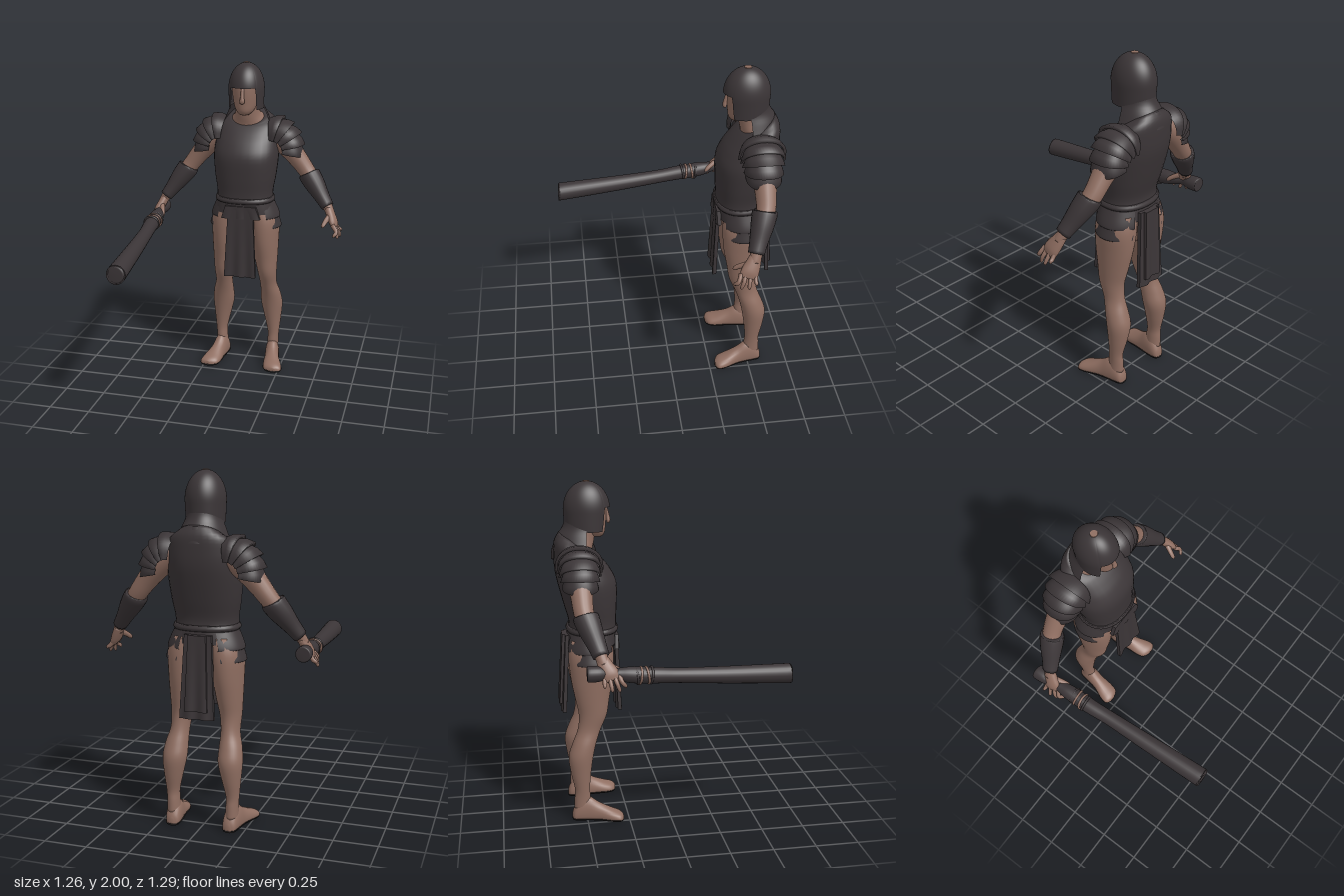
import * as THREE from 'three';

const V = (x, y, z) => new THREE.Vector3(x, y, z);
const skin = new THREE.MeshStandardMaterial({ color: 0x8f6e61 });
skin.name = 'skin';
const leather = new THREE.MeshStandardMaterial({ color: 0x3b3537, side: THREE.DoubleSide });
leather.name = 'dark leather';
const soleMat = new THREE.MeshStandardMaterial({ color: 0x1e1b1b });
soleMat.name = 'sole black';

// Smoothly resample rows of numbers
function smooth(rows, k = 4) {
  const times = rows.map((_, i) => i);
  const curve = new THREE.CubicInterpolant(times, rows.flat(), rows[0].length);
  const out = [];
  for (let i = 0; i <= (rows.length - 1) * k; i++) out.push(Array.from(curve.evaluate(i / k)));
  return out;
}

// Skin a surface over rings of points; closed rings get end caps and face outward
function loft(rings, closed = true) {
  const n = rings[0].length, pos = rings.flat().flatMap(p => [p.x, p.y, p.z]), idx = [];
  const cols = closed ? n : n - 1;
  for (let i = 0; i < rings.length - 1; i++) {
    for (let j = 0; j < cols; j++) {
      const a = i * n + j, b = i * n + (j + 1) % n;
      idx.push(a, b, b + n, a, b + n, a + n);
    }
  }
  if (closed) {
    [0, rings.length - 1].forEach((r, end) => {
      const c = rings[r].reduce((s, p) => s.add(p), V(0, 0, 0)).divideScalar(n);
      const ci = pos.length / 3;
      pos.push(c.x, c.y, c.z);
      for (let j = 0; j < n; j++) {
        const a = r * n + j, b = r * n + (j + 1) % n;
        idx.push(ci, end ? a : b, end ? b : a);
      }
    });
    let volume = 0;
    const p = i => V(pos[3 * i], pos[3 * i + 1], pos[3 * i + 2]);
    for (let i = 0; i < idx.length; i += 3) volume += p(idx[i]).dot(p(idx[i + 1]).cross(p(idx[i + 2])));
    if (volume < 0) idx.reverse();
  }
  const g = new THREE.BufferGeometry();
  g.setAttribute('position', new THREE.Float32BufferAttribute(pos, 3));
  g.setIndex(idx);
  g.computeVertexNormals();
  return g;
}

// Level rings: rows of [y, x, z, halfWidth, halfDepth, tilt]
function column(rows, s = 1, power = 1, a0 = 0, a1 = 360, k = 4) {
  const closed = a1 - a0 === 360, n = 32;
  const pw = v => Math.sign(v) * Math.abs(v) ** power;
  return loft(smooth(rows, k).map(([y, x, z, w, d, tilt = 0]) =>
    Array.from({ length: closed ? n : n + 1 }, (_, j) => {
      const a = THREE.MathUtils.degToRad(a0 + (a1 - a0) * j / n);
      return V(s * (x + w * pw(Math.sin(a))), y - tilt * Math.cos(a), z + d * pw(Math.cos(a)));
    })), closed);
}

// Tube with changing section: rows of [x, y, z, r1, r2]
function limb(rows, s = 1, n = 18, k = 4) {
  const r = smooth(rows, k), c = r.map(q => V(q[0], q[1], q[2]));
  return loft(r.map((q, i) => {
    const t = c[Math.min(i + 1, c.length - 1)].clone().sub(c[Math.max(i - 1, 0)]).normalize();
    const u = t.clone().cross(Math.abs(t.z) > 0.9 ? V(0, 1, 0) : V(0, 0, 1)).normalize();
    const v = t.clone().cross(u);
    return Array.from({ length: n }, (_, j) => {
      const a = j / n * Math.PI * 2;
      const p = c[i].clone().addScaledVector(u, q[3] * Math.cos(a)).addScaledVector(v, q[4] * Math.sin(a));
      p.x *= s;
      return p;
    });
  }));
}

// Foot along z, clipped between two heights
function foot(s, lo, hi, grow) {
  const rows = [[-0.588, 0.17, 0.012, 0.04], [-0.575, 0.17, 0.035, 0.075], [-0.54, 0.172, 0.044, 0.13],
    [-0.49, 0.178, 0.046, 0.145], [-0.43, 0.188, 0.048, 0.105], [-0.36, 0.204, 0.06, 0.07],
    [-0.315, 0.214, 0.06, 0.052], [-0.295, 0.219, 0.045, 0.04], [-0.285, 0.221, 0.018, 0.03]];
  return loft(smooth(rows).map(([z, x, w, h]) => Array.from({ length: 24 }, (_, j) => {
    const a = j / 24 * Math.PI * 2;
    return V(s * (x + (w + grow) * Math.cos(a)), THREE.MathUtils.clamp(h * (0.35 + 0.65 * Math.sin(a)), lo, hi), z);
  })));
}

// Helmet dome with a face opening
function helmetShell() {
  const rings = [];
  for (let i = 0; i <= 24; i++) {
    rings.push(Array.from({ length: 121 }, (_, j) => {
      const deg = -180 + 3 * j, a = THREE.MathUtils.degToRad(deg);
      const cheek = THREE.MathUtils.smoothstep(Math.abs(deg), 43, 51);
      const bottom = THREE.MathUtils.lerp(1.855, 1.72 + 0.025 * Math.max(0, -Math.cos(a)), cheek);
      const y = bottom + (2 - bottom) * Math.sin(i / 24 * Math.PI / 2);
      const r = y > 1.84 ? Math.sqrt(Math.max(0, 1 - ((y - 1.84) / 0.16) ** 2)) : 1 - 0.4 * (1.84 - y);
      return V(0.111 * r * Math.sin(a), y, -0.447 + 0.134 * r * Math.cos(a));
    }));
  }
  return loft(rings, false);
}

// Overlapping shoulder plate fanning around the shoulder joint
function shoulderPlate(s, k) {
  const t0 = 98 - k * 21, t1 = t0 - 25, r = 0.2 - 0.004 * k;
  const rows = [[t0, r - 0.012], [(t0 + t1) / 2, r + 0.002], [t1, r + 0.012], [t1, r - 0.01]];
  return loft(rows.map(([deg, rad]) => Array.from({ length: 25 }, (_, j) => {
    const f = j / 24 * Math.PI, t = THREE.MathUtils.degToRad(deg);
    const q = 0.07 + (rad - 0.07) * Math.max(0, Math.sin(f)) ** 0.7;
    const depth = (0.128 - 0.008 * k) * Math.cos(f) * (rad / r);
    return V(s * (0.165 + q * Math.cos(t)), 1.455 + q * Math.sin(t) * 1.04, -0.512 + depth);
  })), false);
}

// Hanging cloth with soft folds
function apron(w, yTop, yBottom, zTop, zBottom) {
  const g = new THREE.BoxGeometry(w, 1, 0.022, 16, 12, 1), p = g.attributes.position;
  for (let i = 0; i < p.count; i++) {
    const x = p.getX(i), t = 0.5 - p.getY(i);
    const z = p.getZ(i) + THREE.MathUtils.lerp(zTop, zBottom, t) + 0.006 * t * Math.cos(x * 70);
    p.setXYZ(i, x * (0.78 + 0.22 * t), THREE.MathUtils.lerp(yTop, yBottom, t), z);
  }
  g.computeVertexNormals();
  return g;
}

export function createModel() {
  const model = new THREE.Group();
  const add = (name, geo, mat) => {
    const m = new THREE.Mesh(geo, mat);
    m.name = name;
    model.add(m);
    return m;
  };

  // Head and neck
  add('head', column([[1.685, 0, -0.395, 0.03, 0.035], [1.71, 0, -0.41, 0.055, 0.065], [1.75, 0, -0.425, 0.072, 0.085],
    [1.82, 0, -0.435, 0.085, 0.1], [1.88, 0, -0.44, 0.088, 0.1], [1.94, 0, -0.445, 0.06, 0.07]]), skin);
  add('nose', limb([[0, 1.85, -0.337, 0.01, 0.008], [0, 1.8, -0.328, 0.012, 0.012], [0, 1.772, -0.324, 0.017, 0.012],
    [0, 1.762, -0.332, 0.008, 0.006]], 1, 12), skin);
  add('neck', column([[1.55, 0, -0.51, 0.13, 0.085, 0.03], [1.64, 0, -0.507, 0.112, 0.086, 0.035],
    [1.685, 0, -0.48, 0.078, 0.072, 0.02], [1.78, 0, -0.455, 0.066, 0.066, 0]]), skin);

  // Helmet and neck guard
  add('helmet', helmetShell(), leather);
  add('helmetCrown', new THREE.CylinderGeometry(0.02, 0.022, 0.006, 16), skin).position.set(0, 1.998, -0.447);
  add('neckGuard', column([[1.82, 0, -0.46, 0.1, 0.11], [1.75, 0, -0.465, 0.1, 0.12], [1.69, 0, -0.475, 0.122, 0.15],
    [1.62, 0, -0.48, 0.15, 0.165]], 1, 1, 85, 275), leather);

  // Cuirass
  add('cuirass', column([[1.135, 0, -0.432, 0.18, 0.143, 0], [1.2, 0, -0.43, 0.178, 0.139, 0], [1.3, 0, -0.44, 0.194, 0.155, 0],
    [1.42, 0, -0.455, 0.205, 0.17, 0], [1.5, 0, -0.48, 0.2, 0.16, 0], [1.57, 0, -0.505, 0.19, 0.138, 0.01],
    [1.63, 0, -0.522, 0.172, 0.116, 0.03], [1.665, 0, -0.517, 0.115, 0.093, 0.05]], 1, 0.88), leather);
  add('cuirassHem', column([[1.135, 0, -0.432, 0.184, 0.147], [1.15, 0, -0.432, 0.19, 0.153],
    [1.168, 0, -0.432, 0.182, 0.146]], 1, 0.88), leather);

  // Hips, skirt and aprons
  add('hips', column([[0.9, 0, -0.46, 0.07, 0.07], [0.97, 0, -0.455, 0.15, 0.11], [1.05, 0, -0.447, 0.18, 0.128],
    [1.14, 0, -0.435, 0.172, 0.13]]), skin);
  add('waistSkirt', column([[1.14, 0, -0.435, 0.18, 0.142], [1.1, 0, -0.438, 0.192, 0.145],
    [1.065, 0, -0.44, 0.202, 0.146]], 1, 0.9, 0, 359.9), leather);
  add('frontApron', apron(0.205, 1.1, 0.655, -0.297, -0.287), leather);
  add('frontApronTop', apron(0.25, 1.12, 1.04, -0.296, -0.295), leather);
  add('backApron', apron(0.2, 1.12, 0.655, -0.582, -0.615), leather);
  add('backApronTop', apron(0.13, 1.12, 0.7, -0.6, -0.624), leather);

  for (const s of [1, -1]) {
    const side = s > 0 ? 'left' : 'right';

    // Hip flaps in two tiers
    add(side + 'UpperHipFlap', column([[1.13, 0, -0.44, 0.185, 0.142], [1.07, 0, -0.445, 0.212, 0.153],
      [1.035, 0, -0.447, 0.222, 0.157], [1.034, 0, -0.447, 0.21, 0.148]], s, 0.95, 44, 150), leather);
    for (const [a0, a1] of [[40, 74], [72, 110], [108, 148]]) {
      add(side + 'LowerHipFlap', column([[1.08, 0, -0.447, 0.202, 0.145], [1.02, 0, -0.45, 0.218, 0.15],
        [0.97, 0, -0.45, 0.232, 0.155], [0.969, 0, -0.45, 0.222, 0.146]], s, 0.95, a0, a1), leather);
    }

    // Leg, foot and sole
    add(side + 'Leg', column([[0.07, 0.174, -0.525, 0.038, 0.05], [0.14, 0.176, -0.525, 0.036, 0.048], [0.2, 0.178, -0.525, 0.038, 0.045],
      [0.3, 0.172, -0.53, 0.055, 0.06], [0.4, 0.165, -0.527, 0.07, 0.073], [0.48, 0.16, -0.505, 0.065, 0.07],
      [0.56, 0.15, -0.475, 0.054, 0.068], [0.65, 0.145, -0.45, 0.061, 0.082], [0.75, 0.137, -0.45, 0.074, 0.1],
      [0.87, 0.13, -0.45, 0.086, 0.122], [1.0, 0.12, -0.45, 0.098, 0.131], [1.1, 0.1, -0.447, 0.085, 0.12]], s), skin);
    add(side + 'Foot', foot(s, 0.01, 1, 0), skin);
    add(side + 'Sole', foot(s, 0, 0.012, 0.002), soleMat);

    // Arm and bracer
    add(side + 'Arm', limb([[0.15, 1.56, -0.51, 0.07, 0.08], [0.24, 1.49, -0.512, 0.072, 0.078], [0.32, 1.4, -0.512, 0.06, 0.062],
      [0.39, 1.31, -0.505, 0.052, 0.055], [0.46, 1.22, -0.47, 0.05, 0.05], [0.535, 1.11, -0.43, 0.03, 0.034],
      [0.55, 1.08, -0.42, 0.028, 0.034]], s), skin);
    add(side + 'Bracer', limb([[0.393, 1.312, -0.5, 0.06, 0.066], [0.4, 1.3, -0.497, 0.068, 0.072], [0.44, 1.245, -0.478, 0.063, 0.066],
      [0.49, 1.175, -0.452, 0.048, 0.053], [0.53, 1.12, -0.432, 0.04, 0.046]], s), leather);

    // Hand with spread fingers
    add(side + 'Palm', limb([[0.535, 1.11, -0.43, 0.026, 0.034], [0.555, 1.07, -0.412, 0.028, 0.044],
      [0.575, 1.03, -0.392, 0.026, 0.052], [0.59, 1.0, -0.38, 0.014, 0.046]], s), skin);
    const tips = [[0.618, 0.968, -0.425], [0.618, 0.945, -0.385], [0.607, 0.94, -0.345], [0.59, 0.955, -0.31]];
    tips.forEach(([x, y, z], i) => {
      const rootZ = -0.422 + i * 0.026;
      add(side + 'Finger', limb([[0.575, 1.025, rootZ, 0.015, 0.014], [0.603, 0.988, (rootZ + z) / 2, 0.013, 0.012],
        [x, y + 0.012, z, 0.01, 0.01], [x, y, z, 0.004, 0.004]], s, 10, 3), skin);
    });
    add(side + 'Thumb', limb([[0.55, 1.07, -0.39, 0.02, 0.018], [0.53, 1.045, -0.345, 0.015, 0.015],
      [0.52, 1.025, -0.318, 0.012, 0.012], [0.518, 1.015, -0.31, 0.004, 0.004]], s, 10, 3), skin);

    // Layered shoulder armour
    for (let k = 0; k < 5; k++) add(side + 'ShoulderPlate', shoulderPlate(s, k), leather);
  }

  // Club held in the right hand
  add('club', limb([[0.567, 1.035, -0.515, 0.036, 0.036], [0.567, 1.035, -0.505, 0.044, 0.044], [0.565, 1.034, -0.45, 0.042, 0.042],
    [0.562, 1.03, -0.4, 0.028, 0.028], [0.556, 1.024, -0.345, 0.034, 0.034], [0.552, 1.018, -0.29, 0.043, 0.043],
    [0.548, 1.01, -0.22, 0.046, 0.046], [0.542, 1.002, -0.12, 0.044, 0.044], [0.53, 0.992, 0, 0.042, 0.042],
    [0.512, 0.975, 0.25, 0.048, 0.048], [0.488, 0.957, 0.6, 0.056, 0.056], [0.486, 0.956, 0.632, 0.054, 0.054],
    [0.486, 0.956, 0.642, 0.042, 0.042]], -1, 24), leather);
  [-0.245, -0.225, -0.185, -0.165].forEach((z, i) => {
    const strap = add('clubStrap', new THREE.TorusGeometry(0.045, 0.007, 8, 28), i === 1 || i === 2 ? skin : leather);
    strap.position.set(-0.547, 1.008, z);
    strap.rotation.set(0.12 * (i % 2 ? 1 : -1), 0.08, 0);
  });
  return model;
}
